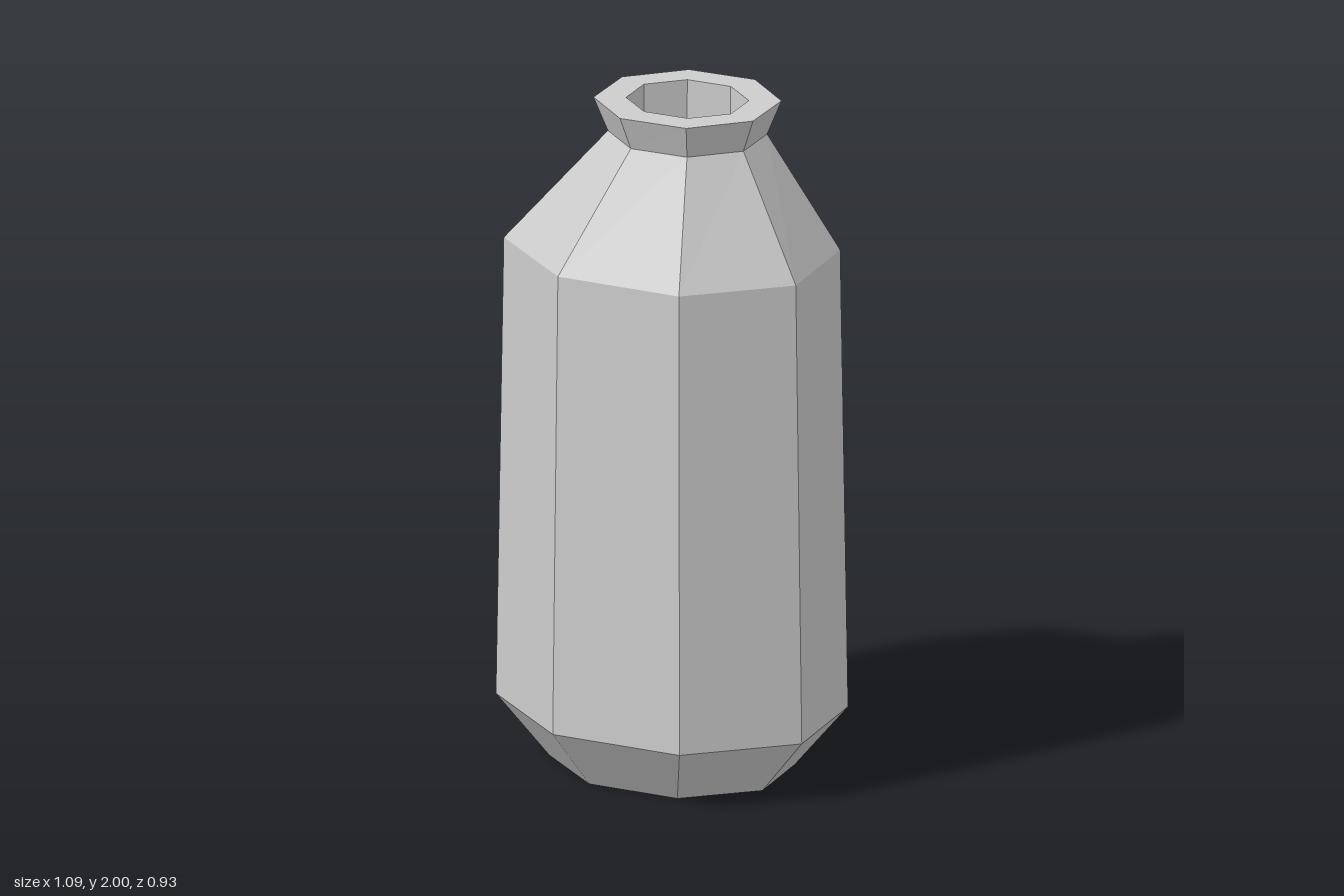
import * as THREE from 'three';

const SIDES = 8;

// Corner of an eight-sided elliptical ring: [y, radiusX, radiusZ, centreX]
function corner([y, rx, rz, cx], i) {
  const a = (i / SIDES) * Math.PI * 2;
  return [cx + rx * Math.sin(a), y, rz * Math.cos(a)];
}

// Skin a list of rings, optionally closing the first and last one
function loft(name, rings, material, capStart, capEnd) {
  const pos = [];
  for (let i = 0; i < SIDES; i++) {
    for (let r = 0; r < rings.length - 1; r++) {
      const a = corner(rings[r], i), b = corner(rings[r], i + 1);
      const c = corner(rings[r + 1], i + 1), d = corner(rings[r + 1], i);
      pos.push(...a, ...b, ...c, ...a, ...c, ...d);
    }
    const first = rings[0], last = rings[rings.length - 1];
    if (capStart) pos.push(first[3], first[0], 0, ...corner(first, i + 1), ...corner(first, i));
    if (capEnd) pos.push(last[3], last[0], 0, ...corner(last, i), ...corner(last, i + 1));
  }
  const geometry = new THREE.BufferGeometry();
  geometry.setAttribute('position', new THREE.Float32BufferAttribute(pos, 3));
  geometry.computeVertexNormals();
  const mesh = new THREE.Mesh(geometry, material);
  mesh.name = name;
  return mesh;
}

export function createModel() {
  const grey = new THREE.MeshStandardMaterial({ color: 0xcccccc, flatShading: true });
  grey.name = 'grey';
  const model = new THREE.Group();
  model.name = 'bottle';

  const base = [0, 0.38, 0.322, 0];
  const hip = [0.18, 0.545, 0.463, 0];
  const shoulder = [1.55, 0.52, 0.443, 0];
  const neck = [1.9, 0.235, 0.22, 0.065];
  const lip = [2, 0.275, 0.262, 0.065];
  const mouth = [2, 0.183, 0.168, 0.065];
  const mouthFloor = [1.8, 0.18, 0.165, 0.065];

  model.add(
    loft('body', [base, hip, shoulder], grey, true, false),
    loft('shoulder', [shoulder, neck], grey, false, false),
    // Flared collar, its flat rim and the recessed mouth
    loft('collar', [neck, lip, mouth], grey, false, false),
    loft('mouth', [mouth, mouthFloor], grey, false, true),
  );
  return model;
}
